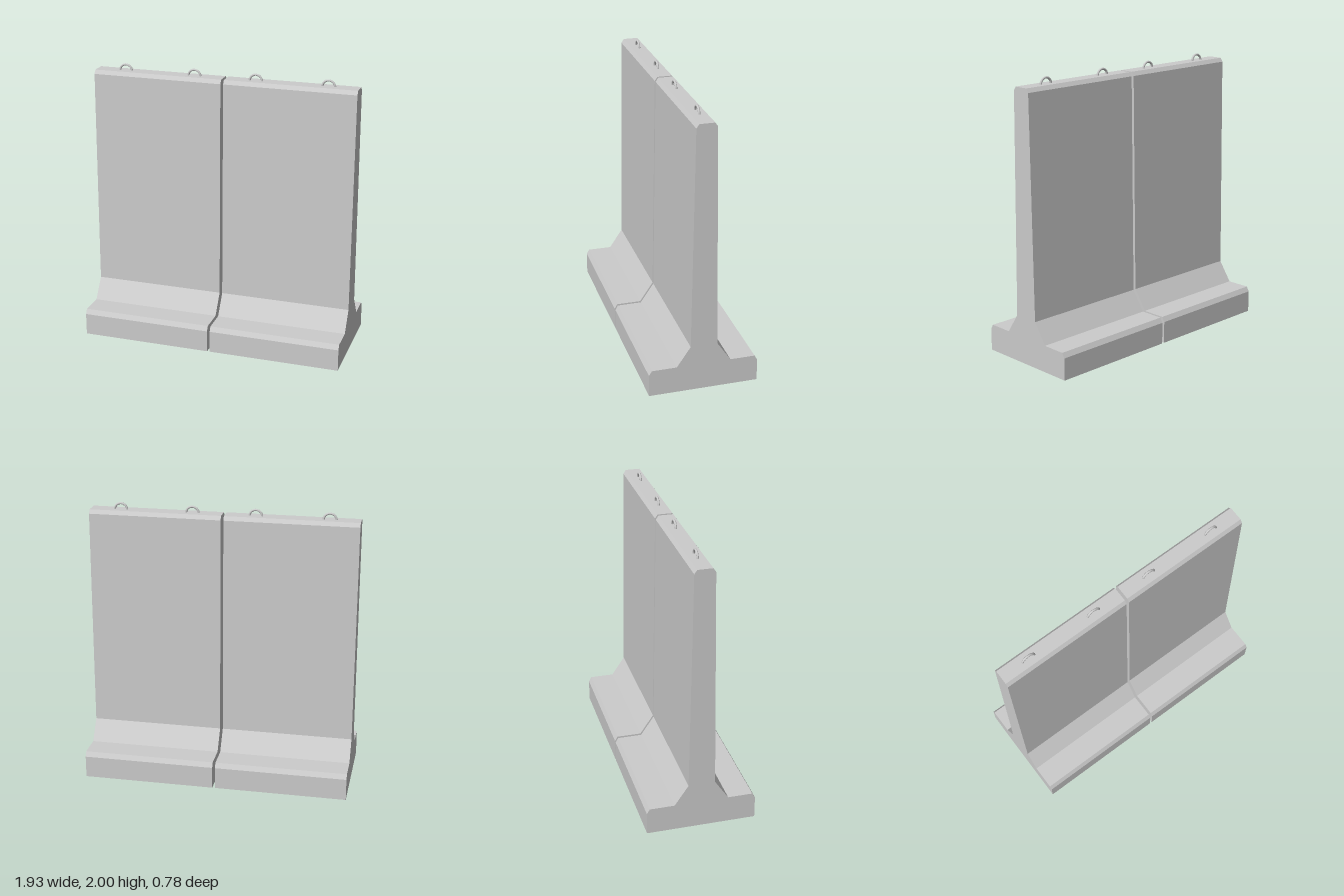
import * as THREE from 'three';

const WIDTH = 0.953, GAP = 0.02;

export function createModel() {
  const group = new THREE.Group();
  const concrete = new THREE.MeshStandardMaterial({ color: 0xcccccc, flatShading: true });
  const steel = new THREE.MeshStandardMaterial({ color: 0xcccccc });

  // Half cross-section (z, y), mirrored to make the inverted-T wall profile
  const half = [[0.39, 0], [0.39, 0.16], [0.37, 0.195], [0.193, 0.195],
    [0.095, 0.34], [0.072, 1.922], [0.053, 1.95]];
  const outline = [...half, ...half.map(([z, y]) => [-z, y]).reverse()];
  const shape = new THREE.Shape(outline.map(([z, y]) => new THREE.Vector2(z, y)));
  const slab = new THREE.ExtrudeGeometry(shape, { depth: WIDTH, bevelEnabled: false });
  slab.translate(0, 0, -WIDTH / 2);
  slab.rotateY(Math.PI / 2);

  // Half-ring lifting eye, its ends resting in the slab top
  const eye = new THREE.TorusGeometry(0.045, 0.008, 10, 24, Math.PI);

  for (const side of [-1, 1]) {
    const segment = new THREE.Group();
    segment.name = side > 0 ? 'leftWallSegment' : 'rightWallSegment';
    segment.position.x = side * (GAP + WIDTH) / 2;

    const wall = new THREE.Mesh(slab, concrete);
    wall.name = 'wallSlab';
    segment.add(wall);

    for (const x of [-0.26, 0.26]) {
      const loop = new THREE.Mesh(eye, steel);
      loop.name = 'liftingLoop';
      loop.position.set(x, 1.947, 0);
      segment.add(loop);
    }
    group.add(segment);
  }
  return group;
}
